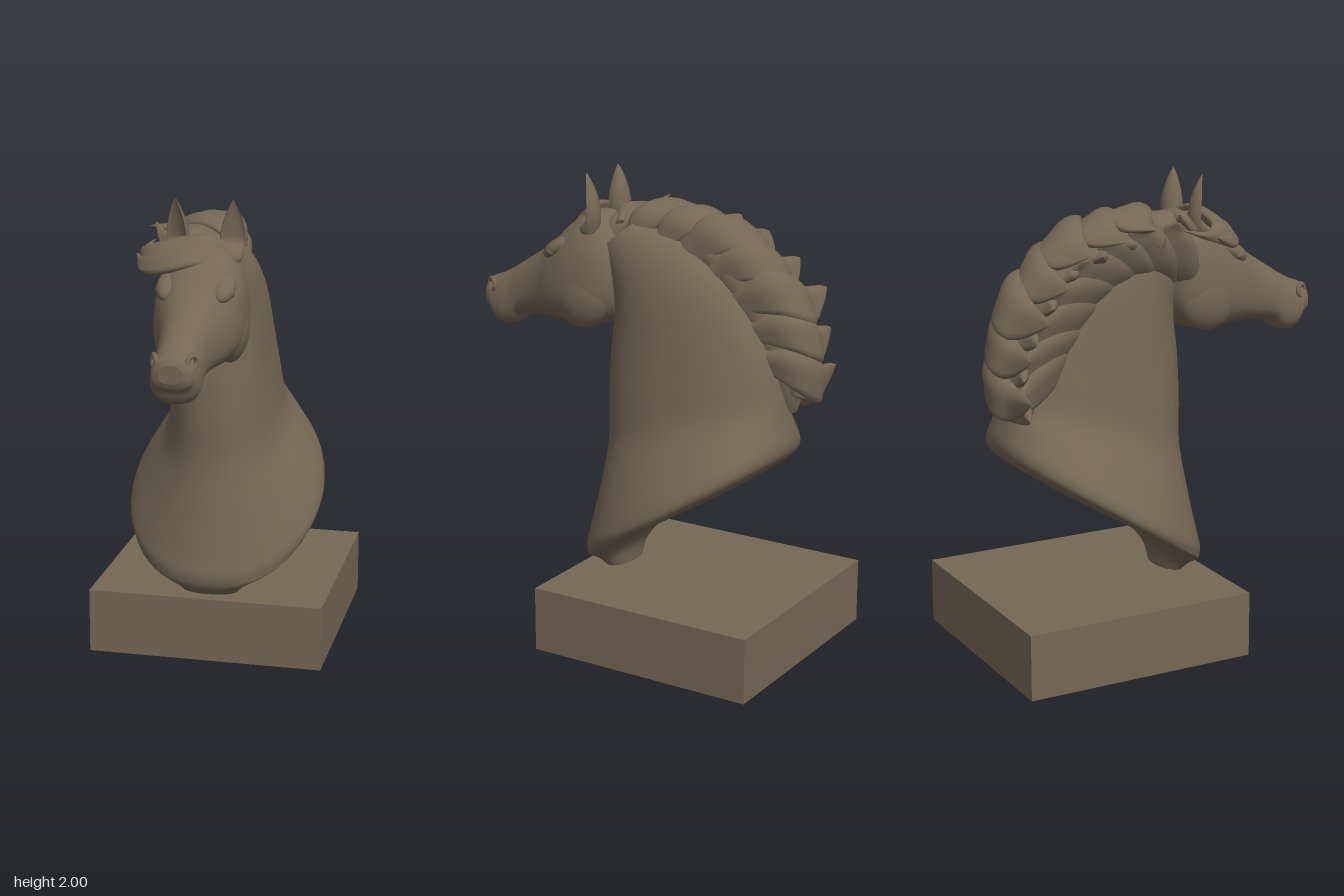
import * as THREE from 'three';

const V = (x, y, z) => new THREE.Vector3(x, y, z);
const clay = new THREE.MeshStandardMaterial({ color: 0x766755 });
clay.name = 'brown clay';

function add(parent, name, geometry) {
  const mesh = new THREE.Mesh(geometry, clay);
  mesh.name = name;
  parent.add(mesh);
  return mesh;
}

// Closed skin through rings of equal point count, with creased end caps
function loft(rings) {
  const n = rings[0].length, pos = [], idx = [];
  const push = p => pos.push(p.x, p.y, p.z) / 3 - 1;
  rings.forEach(r => r.forEach(push));
  for (let i = 0; i < rings.length - 1; i++) for (let j = 0; j < n; j++) {
    const a = i * n + j, b = i * n + (j + 1) % n;
    idx.push(a, b, a + n, b, b + n, a + n);
  }
  [rings[0], rings[rings.length - 1]].forEach((r, end) => {
    const first = pos.length / 3;
    r.forEach(push);
    const c = push(r.reduce((s, p) => s.add(p), V(0, 0, 0)).divideScalar(n));
    for (let j = 0; j < n; j++) {
      const a = first + j, b = first + (j + 1) % n;
      end ? idx.push(c, a, b) : idx.push(c, b, a);
    }
  });
  // turn the skin outward if the enclosed volume comes out negative
  let volume = 0;
  const at = k => V(pos[3 * k], pos[3 * k + 1], pos[3 * k + 2]);
  for (let i = 0; i < idx.length; i += 3) volume += at(idx[i]).dot(at(idx[i + 1]).cross(at(idx[i + 2])));
  if (volume < 0) idx.reverse();
  const g = new THREE.BufferGeometry();
  g.setAttribute('position', new THREE.Float32BufferAttribute(pos, 3));
  g.setIndex(idx);
  g.computeVertexNormals();
  return g;
}

// Adds in-between rings along smooth curves
function refine(rings, steps) {
  const cols = rings[0].map((_, j) => new THREE.CatmullRomCurve3(rings.map(r => r[j])).getPoints(steps));
  return cols[0].map((_, i) => cols.map(c => c[i]));
}

const ring = (n, f) => Array.from({ length: n }, (_, j) => f(j / n * Math.PI * 2));
const pow = (v, e) => Math.sign(v) * Math.abs(v) ** e;

// Flat tapering strand of hair along a path; side is its width direction
function strand(points, side, width, thick) {
  const curve = new THREE.CatmullRomCurve3(points), steps = 20, rings = [];
  for (let i = 0; i <= steps; i++) {
    const u = i / steps, c = curve.getPoint(u);
    const up = curve.getTangent(u).cross(side).normalize();
    const r = u < 0.45 ? 0.45 + 0.55 * Math.sin(u / 0.45 * Math.PI / 2)
      : Math.max(0.03, Math.cos((u - 0.45) / 0.55 * Math.PI / 2) ** 0.75);
    rings.push(ring(18, a => c.clone()
      .addScaledVector(side, Math.cos(a) * width * r)
      .addScaledVector(up, Math.sin(a) * thick * r * (1 + 0.2 * Math.cos(3 * a)))));
  }
  return loft(rings);
}

function ball(parent, name, p, s) {
  const m = add(parent, name, new THREE.SphereGeometry(1, 24, 16));
  m.position.set(...p);
  m.scale.set(...s);
  return m;
}

function buildNeck(parent) {
  // front z, front y, back z, back y, half width, front fullness, squareness;
  // from the foot, out along the slanted underside, round the rim and up the neck
  const rows = [
    [0.165, 0.27, 0.06, 0.27, 0.11, 0, 0.95],
    [0.185, 0.292, 0.045, 0.36, 0.16, 0, 0.95],
    [0.203, 0.306, -0.05, 0.475, 0.235, 0, 0.95],
    [0.215, 0.325, -0.32, 0.652, 0.35, 0, 0.95],
    [0.222, 0.345, -0.60, 0.82, 0.412, 0, 0.95],
    [0.224, 0.38, -0.68, 0.895, 0.43, 0, 0.95],
    [0.213, 0.44, -0.69, 0.945, 0.418, 0, 0.95],
    [0.18, 0.63, -0.67, 1.03, 0.345, 0.02, 0.95],
    [0.15, 0.85, -0.65, 1.12, 0.255, 0.06, 0.9],
    [0.15, 1.05, -0.62, 1.25, 0.225, 0.08, 0.85],
    [0.14, 1.25, -0.55, 1.42, 0.203, 0.1, 0.82],
    [0.12, 1.42, -0.41, 1.61, 0.188, 0.1, 0.82],
    [0.14, 1.55, -0.20, 1.76, 0.162, 0.08, 0.85],
    [0.20, 1.65, 0.00, 1.82, 0.12, 0, 0.95]];
  const rings = rows.map(([fz, fy, bz, by, w, k, e]) => ring(48, a => {
    const s = (1 - Math.cos(a)) / 2;
    return V(w * pow(Math.sin(a), e) * (1 + k * Math.cos(a)),
      fy + (by - fy) * s, fz + (bz - fz) * s);
  }));
  add(parent, 'neck and chest', loft(refine(rings, 65)));
}

function buildHead(parent) {
  // z, top y, bottom y, half width
  const rows = [
    [0.08, 1.70, 1.46, 0.10], [0.11, 1.76, 1.40, 0.15], [0.17, 1.82, 1.35, 0.18],
    [0.25, 1.83, 1.335, 0.188], [0.33, 1.78, 1.335, 0.184], [0.40, 1.715, 1.34, 0.168],
    [0.48, 1.65, 1.34, 0.135], [0.56, 1.597, 1.335, 0.112], [0.62, 1.56, 1.32, 0.102],
    [0.65, 1.54, 1.287, 0.10], [0.70, 1.512, 1.272, 0.10], [0.74, 1.492, 1.29, 0.095],
    [0.765, 1.484, 1.335, 0.088], [0.787, 1.472, 1.348, 0.077], [0.80, 1.45, 1.375, 0.05]];
  const rings = rows.map(([z, t, b, w]) => ring(36, a =>
    V(w * pow(Math.cos(a), 0.8) * (1 - 0.12 * Math.sin(a)),
      (t + b) / 2 + (t - b) / 2 * pow(Math.sin(a), 0.85), z)));
  add(parent, 'skull and muzzle', loft(refine(rings, 56)));
  for (const s of [-1, 1]) {
    ball(parent, 'cheek', [s * 0.118, 1.49, 0.25], [0.076, 0.152, 0.142]);
    ball(parent, 'brow', [s * 0.115, 1.67, 0.365], [0.048, 0.038, 0.085]).rotation.x = 0.5;
    ball(parent, 'eye', [s * 0.144, 1.655, 0.385], [0.02, 0.02, 0.027]);
    const nostril = add(parent, 'nostril', new THREE.TorusGeometry(0.027, 0.01, 10, 24));
    nostril.position.set(s * 0.075, 1.452, 0.75);
    nostril.rotation.set(0, s * 1.05, 0);

    // leaf-shaped ear with a hollow front
    const profile = [[0.036, 0], [0.05, 0.05], [0.052, 0.1], [0.042, 0.16], [0.02, 0.22], [0.001, 0.255]];
    const path = new THREE.SplineCurve(profile.map(p => new THREE.Vector2(...p)));
    const g = new THREE.LatheGeometry(path.getPoints(20), 28);
    const p = g.attributes.position;
    for (let i = 0; i < p.count; i++) {
      const z = p.getZ(i), open = Math.min(1, Math.max(0, (p.getY(i) - 0.02) / 0.06));
      if (z > 0) p.setZ(i, z * (1 - 1.35 * open));
    }
    g.computeVertexNormals();
    const ear = add(parent, 'ear', g);
    ear.position.set(s * 0.115, 1.75, 0.21);
    ear.rotation.set(0.05, s * 0.45, -s * 0.03);
  }
}

function buildMane(parent) {
  // the crest swings to the right as it runs down the neck
  const crest = new THREE.CatmullRomCurve3([[0.14, 1.78], [0, 1.805], [-0.2, 1.785], [-0.38, 1.69],
    [-0.53, 1.52], [-0.635, 1.30], [-0.655, 1.05]].map(([z, y]) => V(0, y, z)));
  const frame = t => {
    const c = crest.getPointAt(t), along = crest.getTangentAt(t);
    return { c, along, out: V(0, -along.z, along.y), shift: -0.07 * t * t };
  };
  // soft ridge that blends the neck into the locks
  const rings = [];
  for (let i = 0; i <= 30; i++) {
    const { c, out, shift } = frame(i / 30), r = 0.35 + 0.65 * Math.sin(i / 30 * Math.PI) ** 0.6;
    rings.push(ring(24, a => c.clone().add(V(shift - 0.04 + Math.cos(a) * 0.118 * r, 0, 0))
      .addScaledVector(out, -0.03 + Math.sin(a) * 0.11 * r)));
  }
  add(parent, 'mane ridge', loft(rings));

  // big overlapping locks that fall to the right and flick outward
  const count = 8;
  for (let i = 0; i < count; i++) {
    const t = 0.04 + 0.82 * i / (count - 1), { c, along, out, shift } = frame(t);
    const lift = 0.01 + 0.085 * Math.sin(Math.PI * t ** 1.5) + (i % 2) * 0.012;
    const at = (x, o, l) => V(x, c.y, c.z).addScaledVector(out, o).addScaledVector(along, l);
    const reach = 0.24 + 0.15 * Math.sin(Math.PI * Math.min(1, t * 0.68)) + (i % 3 - 1) * 0.03;
    const size = 0.8 + 0.3 * Math.sin(Math.PI * t) + (i % 2) * 0.1;
    add(parent, 'mane lock', strand([at(0.07 + shift, -0.06, -0.07), at(0.03 + shift, lift - 0.01, -0.02),
      at(-0.08 + shift, lift + 0.015, 0.04), at(-0.19 + shift / 2, lift - 0.02, 0.07), at(-reach, lift - 0.02, 0.04)],
    along, 0.1 * size, 0.036));
    add(parent, 'mane wisp', strand([at(0.03 + shift, lift * 0.5, 0.06), at(-0.06 + shift, lift - 0.01, 0.08),
      at(-0.15, lift - 0.05, 0.1), at(-0.21, lift - 0.08, 0.12), at(-reach + 0.08, lift - 0.06, 0.13)],
    along, 0.06 * size, 0.036));
    // sheet of hair streaming back from the side of the neck
    add(parent, 'mane underlock', strand([at(-0.12, -0.24, -0.12), at(-0.16, -0.15, -0.06),
      at(-0.185, -0.06, 0), at(-0.205, 0, 0.04), at(-0.24, 0.03, 0.06)], along, 0.1 * size, 0.035));
  }
}

function buildForelock(parent) {
  const side = V(0, -0.6, 0.8);
  const locks = [
    [0.08, [[0.10, 1.80, 0.22], [0.02, 1.82, 0.27], [-0.08, 1.80, 0.29], [-0.2, 1.77, 0.28], [-0.26, 1.76, 0.2], [-0.245, 1.80, 0.06]]],
    [0.055, [[0.06, 1.78, 0.3], [-0.05, 1.775, 0.335], [-0.16, 1.75, 0.325], [-0.25, 1.735, 0.27], [-0.29, 1.765, 0.2]]],
    [0.065, [[0.06, 1.79, 0.1], [-0.03, 1.82, 0.14], [-0.12, 1.81, 0.14], [-0.2, 1.81, 0.1], [-0.25, 1.87, 0.04]]]];
  for (const [w, pts] of locks) add(parent, 'forelock', strand(pts.map(p => V(...p)), side, w, 0.028));
}

export function createModel() {
  const model = new THREE.Group();
  model.name = 'horse bust';
  add(model, 'plinth', new THREE.BoxGeometry(1.02, 0.28, 1.02)).position.set(0, 0.14, -0.27);
  for (const [name, build] of [['neck', buildNeck], ['head', buildHead], ['mane', buildMane], ['forelock', buildForelock]]) {
    const part = new THREE.Group();
    part.name = name;
    build(part);
    model.add(part);
  }
  return model;
}
